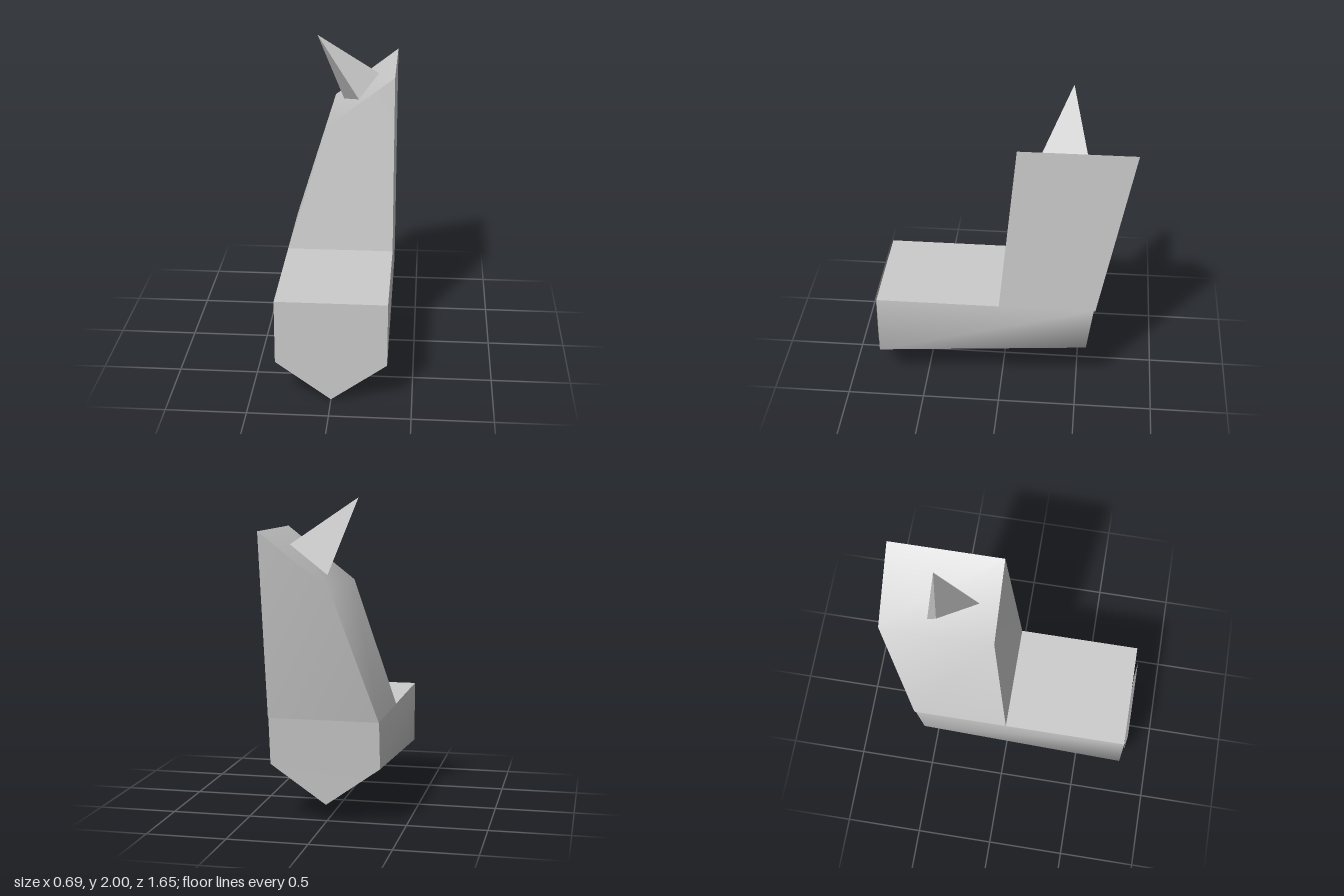
import * as THREE from 'three';
import { toCreasedNormals } from 'three/addons/utils/BufferGeometryUtils.js';
import { ConvexGeometry } from 'three/addons/geometries/ConvexGeometry.js';

const grey = (options = {}) => new THREE.MeshStandardMaterial({ color: 0xcccccc, ...options });

function addPart(group, name, geometry, material = grey()) {
  const mesh = new THREE.Mesh(geometry, material);
  mesh.name = name;
  group.add(mesh);
}

// Closed solid between two loops, each counter-clockwise seen from the front;
// the end caps fan out from corner 1.
function loft(front, back) {
  const n = front.length;
  const index = [];
  for (let i = 0; i < n; i++) {
    const j = (i + 1) % n;
    index.push(i, n + i, n + j, i, n + j, j);
  }
  for (let k = 1; k < n - 1; k++) {
    const a = (1 + k) % n, b = (2 + k) % n;
    index.push(1, a, b, n + 1, n + b, n + a);
  }
  const geometry = new THREE.BufferGeometry();
  geometry.setAttribute('position', new THREE.Float32BufferAttribute([...front, ...back].flat(), 3));
  geometry.setIndex(index);
  return toCreasedNormals(geometry, THREE.MathUtils.degToRad(58));
}

// Five-sided section with a keel: top, side corner and keel are [y, z]
const keelSection = (w, top, side, keel) => [
  [-w, ...top], [-w, ...side], [0, ...keel], [w, ...side], [w, ...top],
];

export function createModel() {
  const model = new THREE.Group();
  const w = 0.345;

  // Long horizontal body with a sloping tail
  addPart(model, 'lowerBody', loft(
    keelSection(w, [0.66, 0.805], [0.25, 0.805], [0, 0.805]),
    keelSection(w, [0.66, -0.6], [0.36, -0.56], [0.11, -0.53]),
  ));

  // Flat panel just ahead of the front end
  const outline = [[-0.265, 0.6], [-0.265, 0.285], [0, 0.095], [0.265, 0.285], [0.265, 0.6]];
  const panel = new THREE.ShapeGeometry(new THREE.Shape(outline.map(([x, y]) => new THREE.Vector2(x, y))));
  panel.translate(0, 0, 0.825);
  addPart(model, 'frontPanel', panel, grey({ side: THREE.DoubleSide }));

  // Leaning upright with a slanted top
  const upright = (zBottom, zTop) => [
    [-w, 0.66, zBottom], [w, 0.66, zBottom], [0.34, 1.81, zTop], [-0.09, 1.475, zTop],
  ];
  addPart(model, 'upright', loft(upright(0.01, -0.1), upright(-0.61, -0.825)));

  // Three-sided spike on the slanted top
  addPart(model, 'topSpike', new ConvexGeometry([
    new THREE.Vector3(-0.18, 2, -0.415),
    new THREE.Vector3(0.225, 1.715, -0.525),
    new THREE.Vector3(0.105, 1.625, -0.22),
    new THREE.Vector3(-0.01, 1.53, -0.53),
  ]), grey({ flatShading: true }));

  return model;
}
